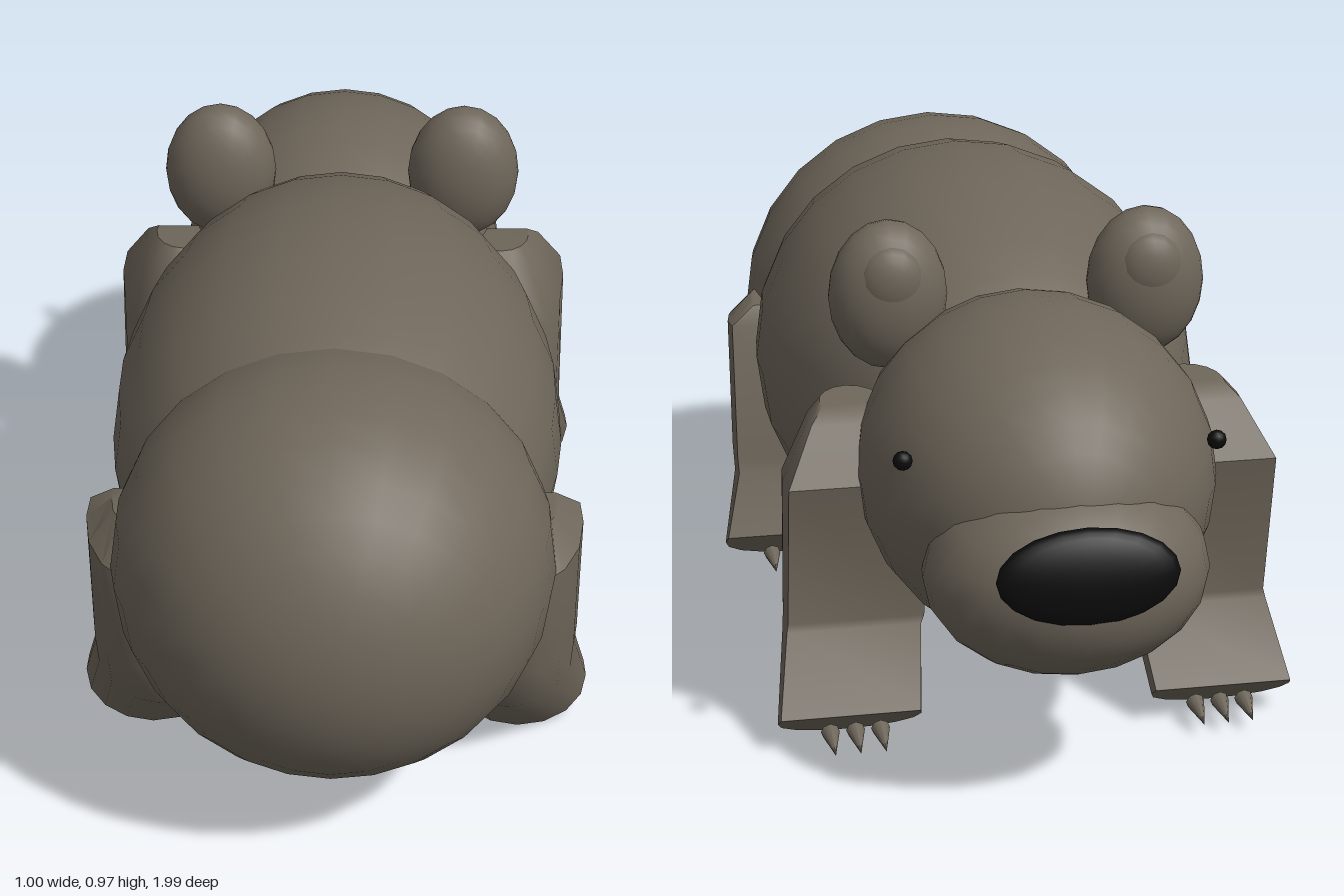
import * as THREE from 'three';
import { toCreasedNormals } from 'three/addons/utils/BufferGeometryUtils.js';

const fur = new THREE.MeshStandardMaterial({ color: 0x6e665a });
fur.name = 'fur';
const black = new THREE.MeshStandardMaterial({ color: 0x0b0b0b });
black.name = 'black';

function add(parent, name, geometry, material) {
  const mesh = new THREE.Mesh(geometry, material);
  mesh.name = name;
  parent.add(mesh);
  return mesh;
}

// Ellipsoid with its poles along z
function ellipsoid(parent, name, [x, y, z], [rx, ry, rz], material = fur, seg = 20) {
  const geo = new THREE.SphereGeometry(1, seg, Math.round(seg * 0.8));
  geo.rotateX(Math.PI / 2).scale(rx, ry, rz);
  const mesh = add(parent, name, geo, material);
  mesh.position.set(x, y, z);
  return mesh;
}

// Leg lofted through D-shaped sections, flat at the front and round at the back.
// Each ring: [front z, front y, back z, back y, centre x, half width], top to bottom.
function legGeometry(rings, side) {
  const steps = 8, n = steps + 3, pos = [], idx = [];
  for (const [fz, fy, bz, by, cx, w] of rings) {
    const put = (dx, t) => pos.push(side * cx + dx, fy + (by - fy) * t, fz + (bz - fz) * t);
    put(w * 0.97, 0);
    for (let i = 0; i <= steps; i++) {
      const a = Math.PI * i / steps;
      put(w * Math.cos(a), 0.22 + 0.78 * Math.sin(a));
    }
    put(-w * 0.97, 0);
  }
  for (let r = 0; r < rings.length - 1; r++) {
    for (let i = 0; i < n; i++) {
      const a = r * n + i, b = r * n + (i + 1) % n;
      idx.push(a, b, a + n, b, b + n, a + n);
    }
  }
  const last = (rings.length - 1) * n;
  for (let i = 1; i < n - 1; i++) {
    idx.push(0, i + 1, i, last, last + i, last + i + 1);
  }
  const geo = new THREE.BufferGeometry();
  geo.setAttribute('position', new THREE.Float32BufferAttribute(pos, 3));
  geo.setIndex(idx);
  return toCreasedNormals(geo, 0.75);
}

const frontRings = [
  [-0.40, 0.645, -0.30, 0.65, 0.33, 0.06],
  [-0.43, 0.62, -0.26, 0.615, 0.33, 0.085],
  [-0.50, 0.52, -0.195, 0.49, 0.335, 0.135],
  [-0.44, 0.225, -0.235, 0.26, 0.335, 0.135],
  [-0.445, 0.21, -0.265, 0.17, 0.34, 0.133],
  [-0.545, 0.075, -0.45, 0.003, 0.3625, 0.1375],
];
const hindRings = [
  [0.45, 0.572, 0.60, 0.58, 0.34, 0.08],
  [0.43, 0.535, 0.67, 0.51, 0.335, 0.135],
  [0.395, 0.25, 0.66, 0.30, 0.335, 0.135],
  [0.39, 0.215, 0.61, 0.18, 0.335, 0.133],
  [0.345, 0.085, 0.45, 0.003, 0.3625, 0.1375],
];

function addLeg(parent, name, rings, side) {
  const group = new THREE.Group();
  group.name = name;
  parent.add(group);
  add(group, 'leg', legGeometry(rings, side), fur);
  // Three claws ahead of the paw
  const toe = rings[rings.length - 1][0];
  for (let i = 0; i < 3; i++) {
    const geo = new THREE.ConeGeometry(0.018, 0.075, 8).rotateX(-Math.PI / 2 - 0.2);
    add(group, 'claw', geo, fur).position.set(side * (0.307 + i * 0.048), 0.038, toe - 0.036);
  }
}

export function createModel() {
  const model = new THREE.Group();
  model.name = 'bear';

  // Trunk
  ellipsoid(model, 'body', [0, 0.533, 0.17], [0.44, 0.423, 0.67], fur, 24);
  ellipsoid(model, 'rump', [0, 0.517, 0.59], [0.415, 0.408, 0.41], fur, 24);

  // Head
  ellipsoid(model, 'head', [0, 0.535, -0.49], [0.335, 0.325, 0.4], fur, 24);
  ellipsoid(model, 'muzzle', [0, 0.445, -0.77], [0.262, 0.19, 0.212]);
  ellipsoid(model, 'nose', [0, 0.505, -0.957], [0.165, 0.088, 0.036], black).rotation.x = 0.15;

  for (const side of [1, -1]) {
    const label = side > 0 ? 'left' : 'right';
    ellipsoid(model, label + 'Eye', [side * 0.288, 0.652, -0.72], [0.018, 0.018, 0.016], black, 12);
    ellipsoid(model, label + 'Ear', [side * 0.248, 0.832, -0.315], [0.113, 0.145, 0.082]);
    ellipsoid(model, label + 'InnerEar', [side * 0.248, 0.87, -0.36], [0.065, 0.072, 0.04], fur, 16);
    addLeg(model, label + 'FrontLeg', frontRings, side);
    addLeg(model, label + 'HindLeg', hindRings, side);
  }
  return model;
}
